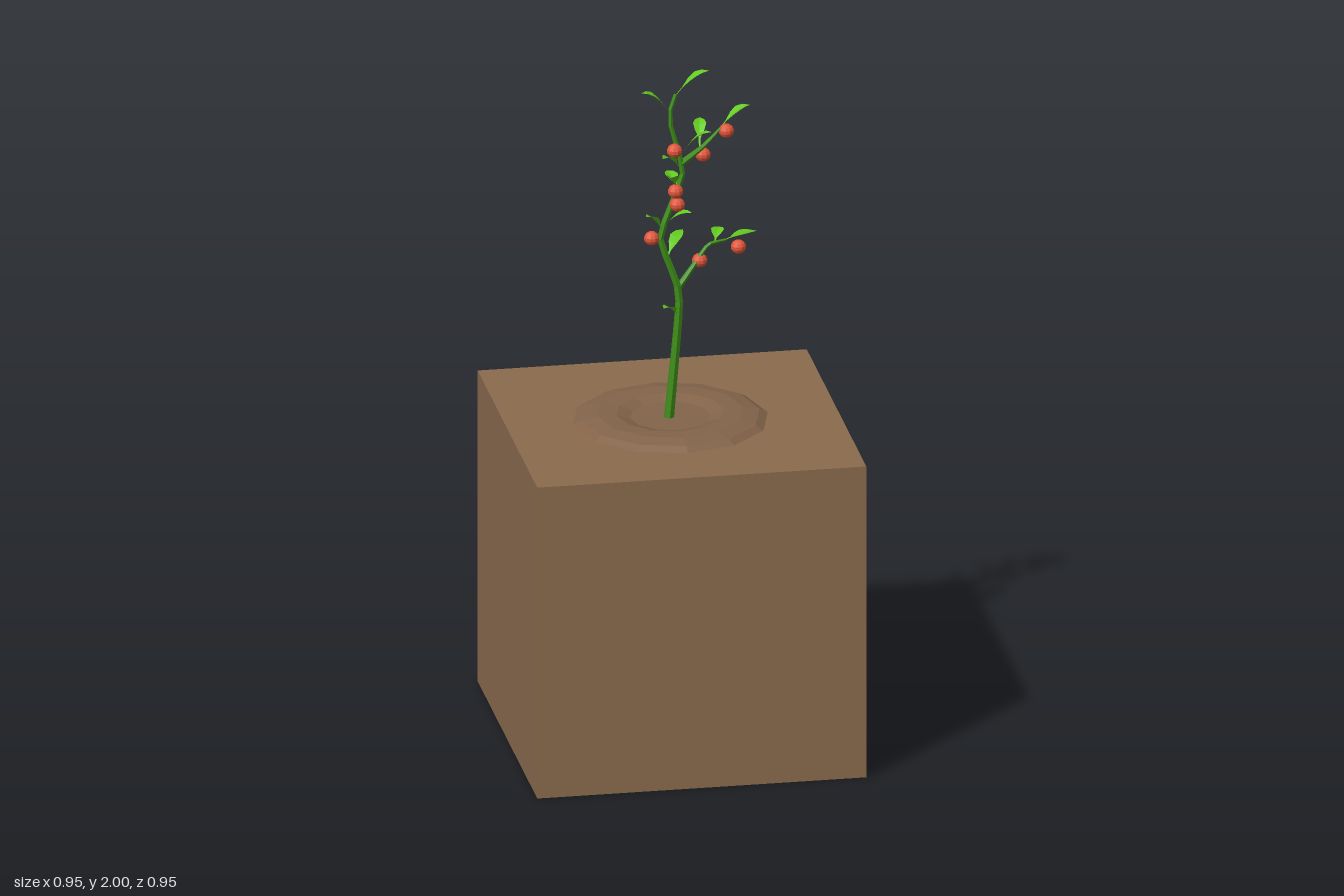
import * as THREE from 'three';

const V = (p) => new THREE.Vector3(...p);
const mat = (color, side = THREE.FrontSide) =>
  new THREE.MeshStandardMaterial({ color, flatShading: true, side });

const soilMat = mat(0x8b6b4e);
const moundMat = mat(0x83644a);
const stemMat = mat(0x3f8f18);
const leafMat = mat(0x62c91f, THREE.DoubleSide);
const fruitMat = mat(0xe0553a);

// Tapered six-sided stalk through a few points
function stalk(name, points, r0, r1) {
  const curve = new THREE.CatmullRomCurve3(points.map(V), false, 'catmullrom', 0.25);
  const segs = (points.length - 1) * 4, sides = 6;
  const geo = new THREE.TubeGeometry(curve, segs, 1, sides, false);
  const pos = geo.attributes.position, v = new THREE.Vector3();
  for (let i = 0; i <= segs; i++) {
    const c = curve.getPointAt(i / segs);
    const r = THREE.MathUtils.lerp(r0, r1, i / segs);
    for (let j = 0; j <= sides; j++) {
      const k = i * (sides + 1) + j;
      v.fromBufferAttribute(pos, k).sub(c).multiplyScalar(r).add(c);
      pos.setXYZ(k, v.x, v.y, v.z);
    }
  }
  const mesh = new THREE.Mesh(geo, stemMat);
  mesh.name = name;
  return mesh;
}

// Arched pointed leaf, creased along its midrib
function leaf(base, tip) {
  const a = V(base), b = V(tip);
  const mid = a.clone().lerp(b, 0.5);
  mid.y = THREE.MathUtils.lerp(a.y, b.y, 0.85) + 0.006;
  const curve = new THREE.QuadraticBezierCurve3(a, mid, b);
  const side = new THREE.Vector3(b.z - a.z, 0, a.x - b.x).normalize();
  const halfWidths = [0.002, 0.003, 0.014, 0.019, 0.013, 0.001];
  const verts = [], index = [];
  halfWidths.forEach((w, i) => {
    const p = curve.getPoint(i / (halfWidths.length - 1));
    for (const s of [-1, 0, 1]) {
      const q = p.clone().addScaledVector(side, s * w);
      q.y += Math.abs(s) * w * 0.35;
      verts.push(q.x, q.y, q.z);
    }
    if (i === 0) return;
    for (const j of [0, 1]) {
      const k = (i - 1) * 3 + j;
      index.push(k, k + 1, k + 3, k + 1, k + 4, k + 3);
    }
  });
  const geo = new THREE.BufferGeometry();
  geo.setAttribute('position', new THREE.Float32BufferAttribute(verts, 3));
  geo.setIndex(index);
  geo.computeVertexNormals();
  const mesh = new THREE.Mesh(geo, leafMat);
  mesh.name = 'leaf';
  return mesh;
}

export function createModel() {
  const model = new THREE.Group();
  model.name = 'fruitPlant';

  // Soil block
  const block = new THREE.Mesh(new THREE.BoxGeometry(0.95, 0.945, 0.95), soilMat);
  block.position.y = 0.4725;
  block.name = 'soilBlock';
  model.add(block);

  // Twelve-sided ring of raised earth with a shallow hollow
  const profile = [[0.283, 0.944], [0.258, 0.958], [0.21, 0.966], [0.155, 0.965], [0.115, 0.953], [0, 0.953]];
  const mound = new THREE.Mesh(
    new THREE.LatheGeometry(profile.map(([r, y]) => new THREE.Vector2(r, y)).reverse(), 12), moundMat);
  mound.material.side = THREE.DoubleSide;
  mound.position.x = -0.005;
  mound.name = 'mound';
  model.add(mound);

  // Zigzag stem and three side branches
  model.add(
    stalk('stem', [[-0.01, 0.945, 0.005], [0.02, 1.32, 0.006], [-0.035, 1.5, 0.006], [0.03, 1.69, 0.004],
      [-0.01, 1.86, 0.008], [0.01, 1.935, 0.008]], 0.015, 0.006),
    stalk('lowerBranch', [[0.018, 1.345, 0.005], [0.065, 1.4, -0.015], [0.11, 1.455, -0.03], [0.165, 1.46, -0.047]], 0.01, 0.004),
    stalk('upperBranch', [[0.025, 1.72, 0.005], [0.095, 1.757, -0.025], [0.15, 1.803, -0.045]], 0.01, 0.004),
    stalk('frontBranch', [[0.005, 1.61, 0.005], [0, 1.657, 0.1], [-0.02, 1.715, 0.168]], 0.01, 0.004));

  // Round, slightly flattened fruits
  const fruitGeo = new THREE.SphereGeometry(0.0225, 10, 7);
  for (const p of [[0.2, 1.437, -0.045], [0.085, 1.41, -0.028], [0.165, 1.792, -0.045], [0.095, 1.73, -0.03],
    [-0.02, 1.7, 0.168], [-0.003, 1.633, 0.1], [-0.06, 1.5, 0.008], [0.002, 1.77, 0.03]]) {
    const fruit = new THREE.Mesh(fruitGeo, fruitMat);
    fruit.position.set(...p);
    fruit.scale.y = 0.92;
    fruit.name = 'fruit';
    model.add(fruit);
  }

  // Leaves, each from attachment point to tip
  for (const [base, tip] of [
    [[0.01, 1.93, 0.008], [0.105, 1.998, 0.008]],
    [[-0.008, 1.88, 0.008], [-0.09, 1.945, 0.015]],
    [[0.02, 1.71, 0.005], [-0.04, 1.765, 0.075]],
    [[0.02, 1.64, 0], [0, 1.665, -0.09]],
    [[-0.028, 1.52, 0.008], [-0.085, 1.585, 0.06]],
    [[0.016, 1.26, 0.006], [-0.035, 1.305, 0.062]],
    [[-0.015, 1.43, 0], [0.045, 1.487, -0.08]],
    [[-0.02, 1.54, 0.006], [0.05, 1.58, 0.035]],
    [[0.02, 1.74, 0.005], [0.105, 1.825, 0.045]],
    [[0.085, 1.755, -0.03], [0.1, 1.812, -0.11]],
    [[0.13, 1.457, -0.038], [0.155, 1.48, -0.1]],
    [[0.16, 1.46, -0.046], [0.262, 1.462, -0.095]],
    [[0.147, 1.8, -0.045], [0.235, 1.86, -0.06]],
    [[-0.018, 1.71, 0.162], [-0.045, 1.765, 0.23]],
  ]) model.add(leaf(base, tip));

  return model;
}
